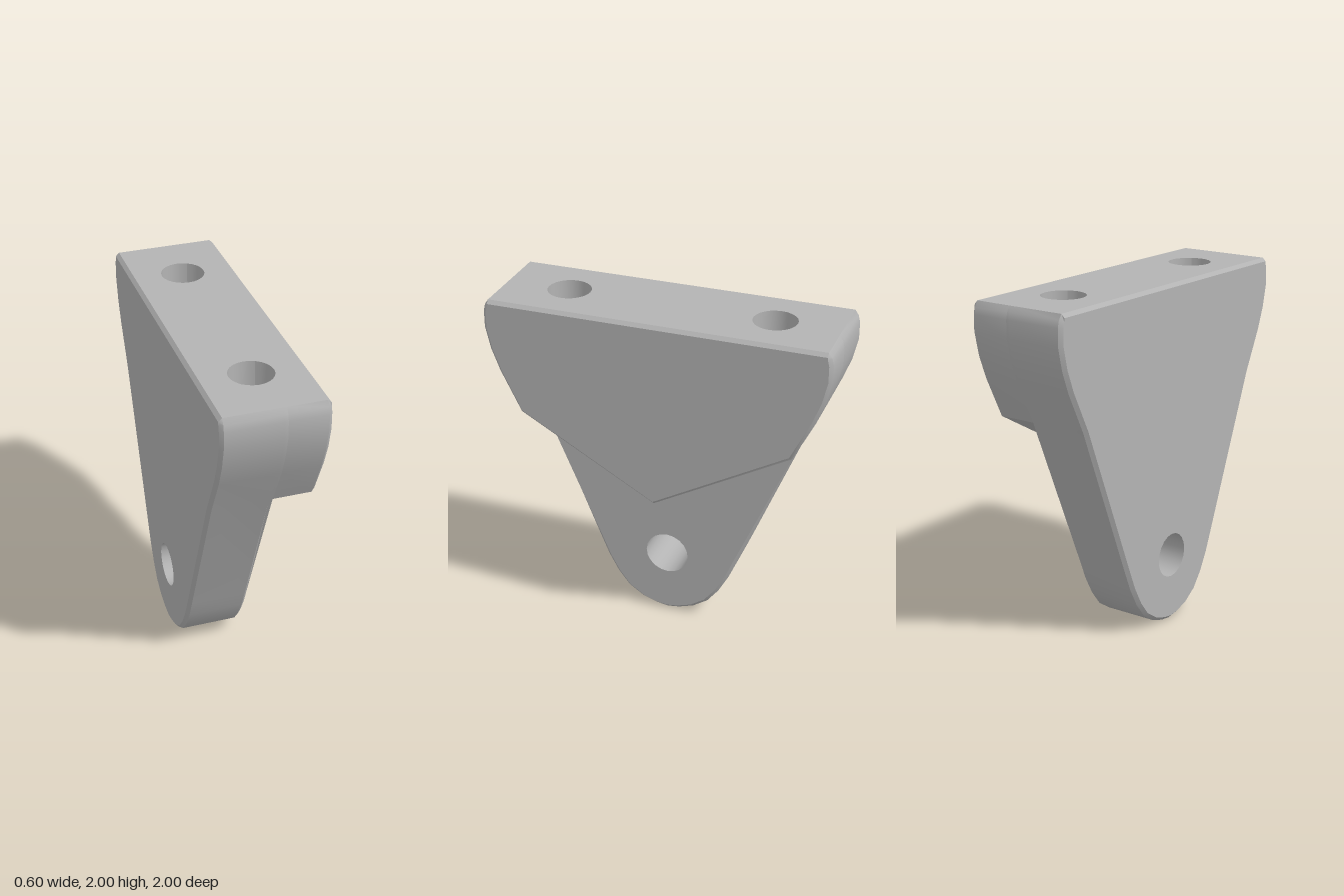
import * as THREE from 'three';
import { toCreasedNormals } from 'three/addons/utils/BufferGeometryUtils.js';

const X0 = -0.3, XM = 0.06, X1 = 0.3, B = 0.02;      // back face, step, front face, edge rounding
const BORE_R = 0.125, BORE_Z = 0.6, FLOOR = 1.18;    // vertical bores
const vEdge = z => 0.88 + 0.5625 * Math.abs(z);      // underside of the thick part

// Half outlines as [z, y]
const upperHalf = [[0.8, 1.33], [0.92, 1.57], [0.97, 1.7], [1, 1.83], [1, 1.93], [0.99, 1.97], [0.97, 2]];
const lowerHalf = [[0.43, 0.42], [0.38, 0.3], [0.32, 0.19], [0.25, 0.1], [0.16, 0.04], [0.07, 0.01]];
const mirror = pts => pts.map(([z, y]) => [-z, y]);

// Closed outline moved inwards by d
function inset(pts, d) {
  const n = pts.length;
  return pts.map(([z, y], i) => {
    const p = pts[(i + n - 1) % n], q = pts[(i + 1) % n];
    const dz = q[0] - p[0], dy = q[1] - p[1], l = Math.hypot(dz, dy);
    return [z + dy / l * d, y - dz / l * d];
  });
}

const atX = (pts, x) => pts.map(([z, y]) => [x, y, z]);

// Skin between rows of 3D points; skip(row, segment) leaves openings
function loft(rows, closed, skip = () => false) {
  const n = rows[0].length, index = [];
  for (let r = 0; r < rows.length - 1; r++) {
    for (let i = 0; i < (closed ? n : n - 1); i++) {
      if (skip(r, i)) continue;
      const j = (i + 1) % n, a = r * n + i, b = r * n + j;
      index.push(a, b, b + n, a, b + n, a + n);
    }
  }
  const g = new THREE.BufferGeometry();
  g.setAttribute('position', new THREE.Float32BufferAttribute(rows.flat(2), 3));
  g.setIndex(index);
  return g;
}

// Filled polygon with holes, placed in space by map(u, v)
function fill(pts, holes, map, flip) {
  const toV = list => list.map(([u, v]) => new THREE.Vector2(u, v));
  const shape = new THREE.Shape(toV(pts));
  holes.forEach(h => shape.holes.push(new THREE.Path(toV(h))));
  const src = new THREE.ShapeGeometry(shape), p = src.attributes.position;
  const g = new THREE.BufferGeometry();
  for (let i = 0; i < p.count; i++) p.setXYZ(i, ...map(p.getX(i), p.getY(i)));
  g.setAttribute('position', p);
  const idx = Array.from(src.index.array);
  g.setIndex(flip ? idx.reverse() : idx);
  return g;
}

// Points on an arc
function arc(cu, cv, r, a0, a1, n) {
  return Array.from({ length: n + 1 }, (_, i) => {
    const a = a0 + (a1 - a0) * i / n;
    return [cu + r * Math.cos(a), cv + r * Math.sin(a)];
  });
}

export function createModel() {
  const group = new THREE.Group();
  const grey = new THREE.MeshStandardMaterial({ color: 0xb3b3b3, side: THREE.DoubleSide });
  grey.name = 'grey';
  const add = (name, g) => {
    const mesh = new THREE.Mesh(toCreasedNormals(g, 0.6), grey);
    mesh.name = name;
    group.add(mesh);
  };

  // Outlines run clockwise in (z, y)
  const upper = [...mirror(upperHalf), ...[...upperHalf].reverse()];
  const lower = [...lowerHalf, [0, 0], ...mirror(lowerHalf).reverse()];
  const plate = [...upper, ...lower], block = [...upper, [0, 0.88]];
  const topSeg = upperHalf.length - 1, vSeg = upper.length - 1;
  const plateIn = inset(plate, B), blockIn = inset(block, B);
  const stepRow = plate.map((p, i) => (p[1] < 1.3 ? plateIn[i] : p));
  const axleHole = arc(0, 0.4, 0.13, 0, Math.PI * 2, 20);

  // Edges of the long plate and of the thick upper block
  add('plateRim', loft([atX(plateIn, X0), atX(plate, X0 + B), atX(plate, XM - B), atX(stepRow, XM)],
    true, (r, i) => i === topSeg && r > 0));
  add('blockRim', loft([atX(block, XM), atX(block, X1 - B), atX(blockIn, X1)],
    true, (r, i) => r === 0 && (i === topSeg || i >= vSeg)));

  // Flat faces
  add('backFace', fill(plateIn, [axleHole], (z, y) => [X0, y, z], false));
  add('blockFace', fill(blockIn, [], (z, y) => [X1, y, z], true));

  // Step face, notched where the bores break through
  const half = Math.sqrt(BORE_R ** 2 - XM ** 2), zi = BORE_Z - half, zo = BORE_Z + half;
  const notch = [[zo, vEdge(zo)], [zo, FLOOR], [zi, FLOOR], [zi, vEdge(zi)]];
  const stepFace = [...stepRow.slice(upper.length), [-0.8, 1.33], ...mirror(notch), [0, 0.88],
    ...[...notch].reverse(), [0.8, 1.33]];
  add('stepFace', fill(stepFace, [axleHole], (z, y) => [XM, y, z], true));

  // Cross hole for the axle
  add('axleHole', loft([atX(axleHole, X0), atX(axleHole, XM)], false));

  // Top face with two bores
  const e = X1 - B, t = 0.97;
  add('topFace', fill([[-e, -t], [e, -t], [e, t], [-e, t]],
    [-1, 1].map(s => arc(0, s * BORE_Z, BORE_R, 0, Math.PI * 2, 24)), (x, z) => [x, 2, z], true));

  const a = Math.acos(XM / BORE_R);
  for (const s of [-1, 1]) {
    // Sloping underside with the bore opening
    const open = arc(0, BORE_Z, BORE_R, a, -a, 8);
    const under = [[XM, 0], [e, 0], [e, 0.8], [XM, 0.8], ...open].map(([x, z]) => [x, s * z]);
    add('blockUnderside', fill(under, [], (x, z) => [x, vEdge(z), z], false));

    // Bore: through on the block side, blind on the plate side
    const through = arc(0, s * BORE_Z, BORE_R, -a, a, 8);
    const blind = arc(0, s * BORE_Z, BORE_R, a, Math.PI * 2 - a, 16);
    const wall = (pts, bottom) => loft([pts.map(([x, z]) => [x, bottom(z), z]), pts.map(([x, z]) => [x, 2, z])], false);
    add('boreThroughWall', wall(through, vEdge));
    add('boreBlindWall', wall(blind, () => FLOOR));
    add('boreFloor', fill(blind, [], (x, z) => [x, FLOOR, z], true));
  }
  return group;
}
